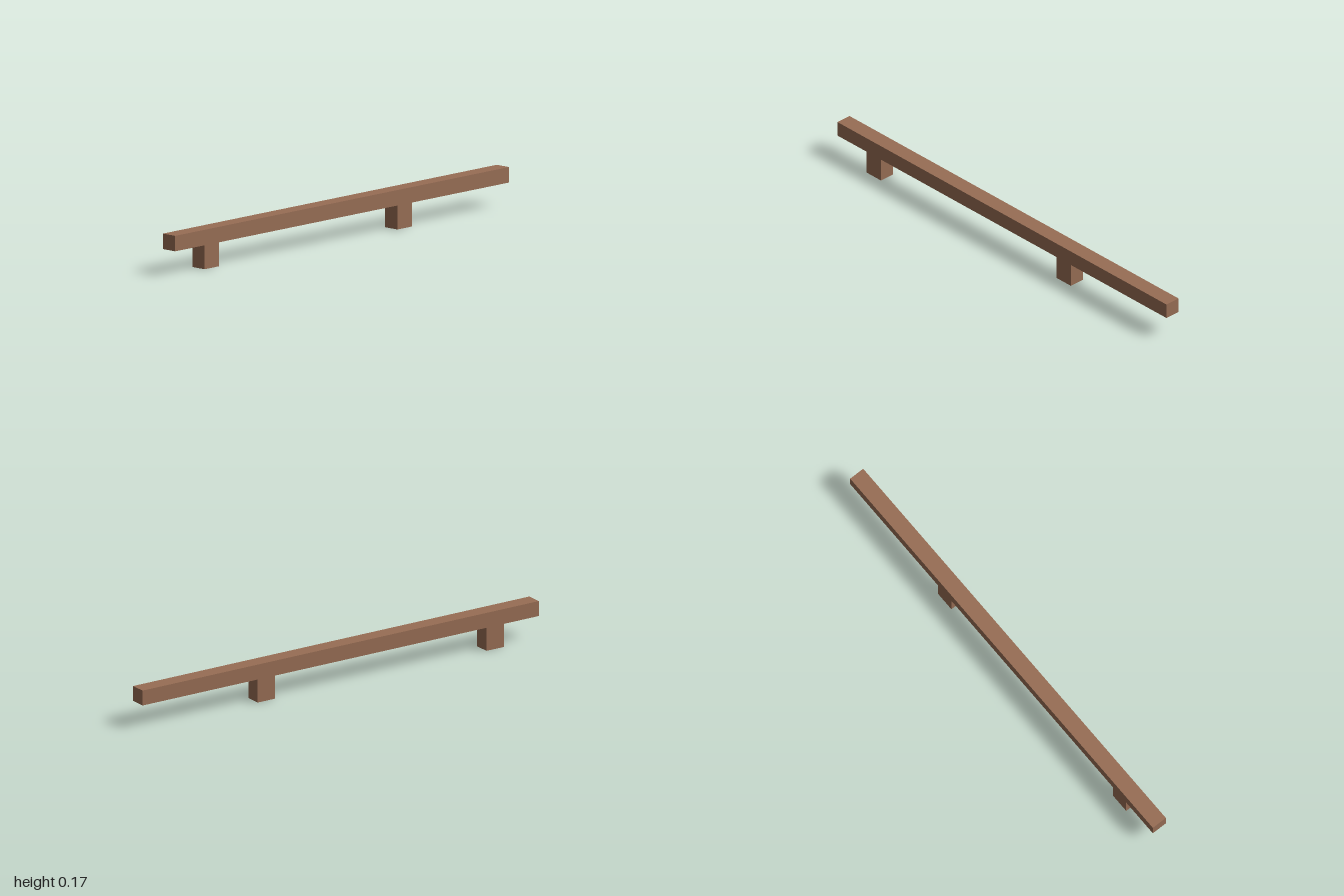
import * as THREE from 'three';

export function createModel() {
  const model = new THREE.Group();
  model.name = 'beamOnFeet';
  const wood = new THREE.MeshStandardMaterial({ color: 0x986e55 });
  wood.name = 'brown wood';

  const width = 0.07, footHeight = 0.102, top = 0.168;

  function addBlock(name, y0, y1, z0, z1) {
    const mesh = new THREE.Mesh(new THREE.BoxGeometry(width, y1 - y0, z1 - z0), wood);
    mesh.position.set(0, (y0 + y1) / 2, (z0 + z1) / 2);
    mesh.name = name;
    model.add(mesh);
  }

  // Long rail resting on two short feet, all flush at the sides
  addBlock('rail', footHeight, top, -1, 1);
  addBlock('frontFoot', 0, footHeight, 0.736, 0.824);
  addBlock('rearFoot', 0, footHeight, -0.419, -0.331);

  return model;
}
